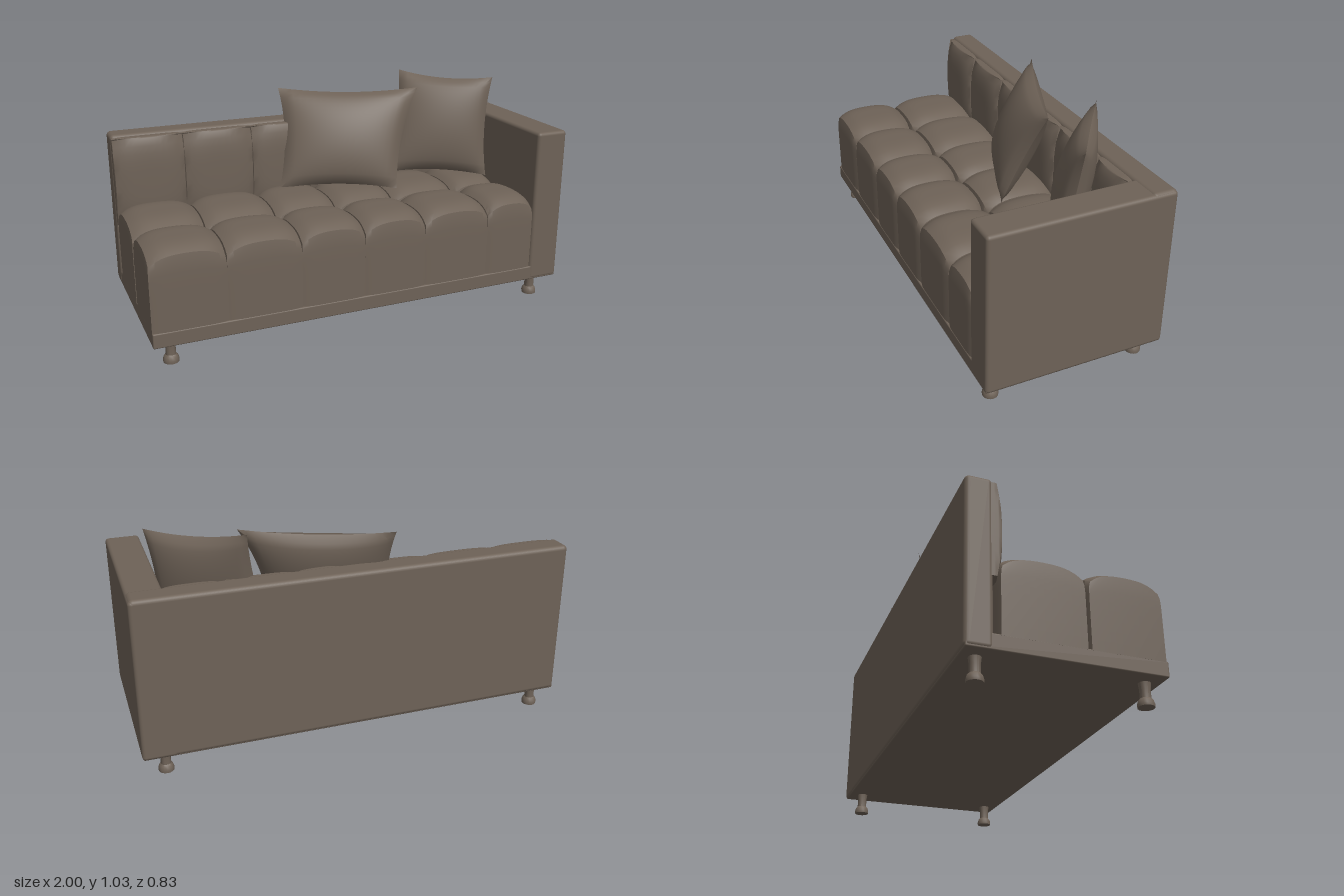
import * as THREE from 'three';
import { toCreasedNormals } from 'three/addons/utils/BufferGeometryUtils.js';
import { RoundedBoxGeometry } from 'three/addons/geometries/RoundedBoxGeometry.js';

const fabric = new THREE.MeshStandardMaterial({ color: 0x6e6257 });
fabric.name = 'brown fabric';

function add(group, name, geometry, x = 0, y = 0, z = 0) {
  const mesh = new THREE.Mesh(geometry, fabric);
  mesh.name = name;
  mesh.position.set(x, y, z);
  group.add(mesh);
  return mesh;
}

// Rounded block given by its minimum and maximum corners
function block(group, name, a, b, r) {
  const s = b.map((v, i) => v - a[i]);
  add(group, name, new RoundedBoxGeometry(s[0], s[1], s[2], 3, r),
    ...a.map((v, i) => (v + b[i]) / 2));
}

// Upholstered cell: the top sinks toward its seams, the sides draw in at the corners
function puffedCell(w, h, d, sink, draw) {
  const g = new THREE.BoxGeometry(w, h, d, 12, 8, 12);
  const p = g.attributes.position;
  for (let i = 0; i < p.count; i++) {
    const u = p.getX(i) / w * 2, t = p.getY(i) / h + 0.5, v = p.getZ(i) / d * 2;
    const edge = 0.65 * (u ** 4 + v ** 4) + 0.35 * (u * u * v * v);
    p.setY(i, p.getY(i) - sink * edge * t ** 3);
    p.setZ(i, p.getZ(i) - draw * v * (u ** 8 + t ** 10));
    p.setX(i, p.getX(i) - draw * 0.4 * u * t ** 10);
  }
  return toCreasedNormals(g, 0.7);
}

// Throw pillow stretched between four corners: top left, top right, bottom left, bottom right
function pillow(corners, thickness) {
  const [tl, tr, bl, br] = corners.map(c => new THREE.Vector3(...c));
  const normal = new THREE.Vector3().subVectors(tr, bl)
    .cross(new THREE.Vector3().subVectors(tl, br)).normalize();
  const n = 20, pos = [], index = [];
  for (const side of [1, -1]) {
    const start = pos.length / 3;
    for (let j = 0; j <= n; j++) for (let i = 0; i <= n; i++) {
      const u = i / n * 2 - 1, v = j / n * 2 - 1;
      // Seams curve inward between the pointed corners
      const s = (u * (1 - 0.09 * (1 - v * v)) + 1) / 2;
      const t = (v * (1 - 0.09 * (1 - u * u)) + 1) / 2;
      const q = bl.clone().lerp(br, s).lerp(tl.clone().lerp(tr, s), t);
      q.addScaledVector(normal, side * thickness * ((1 - u * u) * (1 - v * v)) ** 0.5);
      pos.push(q.x, q.y, q.z);
    }
    for (let j = 0; j < n; j++) for (let i = 0; i < n; i++) {
      const a = start + j * (n + 1) + i, b = a + 1, c = a + n + 1, d = c + 1;
      if (side > 0) index.push(a, b, d, a, d, c);
      else index.push(a, d, b, a, c, d);
    }
  }
  const g = new THREE.BufferGeometry();
  g.setAttribute('position', new THREE.Float32BufferAttribute(pos, 3));
  g.setIndex(index);
  return toCreasedNormals(g, 0.9);
}

export function createModel() {
  const sofa = new THREE.Group();
  sofa.name = 'sofa';

  // Frame: plinth, back and the single arm
  block(sofa, 'plinth', [-0.995, 0.1, -0.41], [0.995, 0.168, 0.41], 0.006);
  block(sofa, 'backrest', [-0.998, 0.1, -0.415], [0.998, 0.84, -0.3], 0.02);
  block(sofa, 'arm', [0.845, 0.1, -0.415], [1, 0.835, 0.412], 0.016);

  // Seat and back cells share the same column seams
  const seams = [-0.995, -0.665, -0.33, -0.03, 0.27, 0.6, 0.85];
  const rows = [-0.28, 0.08, 0.408];
  const seat = new THREE.Group();
  seat.name = 'seat';
  const back = new THREE.Group();
  back.name = 'backCushions';
  for (let i = 0; i < 6; i++) {
    const w = seams[i + 1] - seams[i], x = (seams[i] + seams[i + 1]) / 2;
    for (let j = 0; j < 2; j++) {
      const d = rows[j + 1] - rows[j];
      add(seat, 'seatCell', puffedCell(w, 0.37, d, 0.045, 0.008), x, 0.348, (rows[j] + rows[j + 1]) / 2);
    }
    const cell = puffedCell(w, 0.08, 0.43, 0.03, 0.006);
    cell.rotateX(Math.PI / 2);
    add(back, 'backCell', cell, x, 0.615, -0.285);
  }
  sofa.add(seat, back);

  // Two throw pillows leaning on the back and the arm
  add(sofa, 'largePillow', pillow([
    [-0.16, 0.985, -0.365], [0.48, 0.985, -0.11], [-0.22, 0.525, -0.19], [0.31, 0.52, 0.02]], 0.085));
  add(sofa, 'smallPillow', pillow([
    [0.49, 1.035, -0.335], [0.875, 1.015, -0.055], [0.36, 0.53, -0.22], [0.83, 0.52, 0]], 0.075));

  // Turned legs with flared feet
  const profile = [[0, 0], [0.034, 0], [0.035, 0.012], [0.03, 0.028], [0.023, 0.036],
    [0.022, 0.07], [0.026, 0.102], [0, 0.102]].map(([r, y]) => new THREE.Vector2(r, y));
  const legGeometry = toCreasedNormals(new THREE.LatheGeometry(profile, 16), 0.6);
  for (const x of [-0.912, 0.896]) for (const z of [-0.345, 0.345]) {
    add(sofa, 'leg', legGeometry, x, 0, z);
  }
  return sofa;
}
